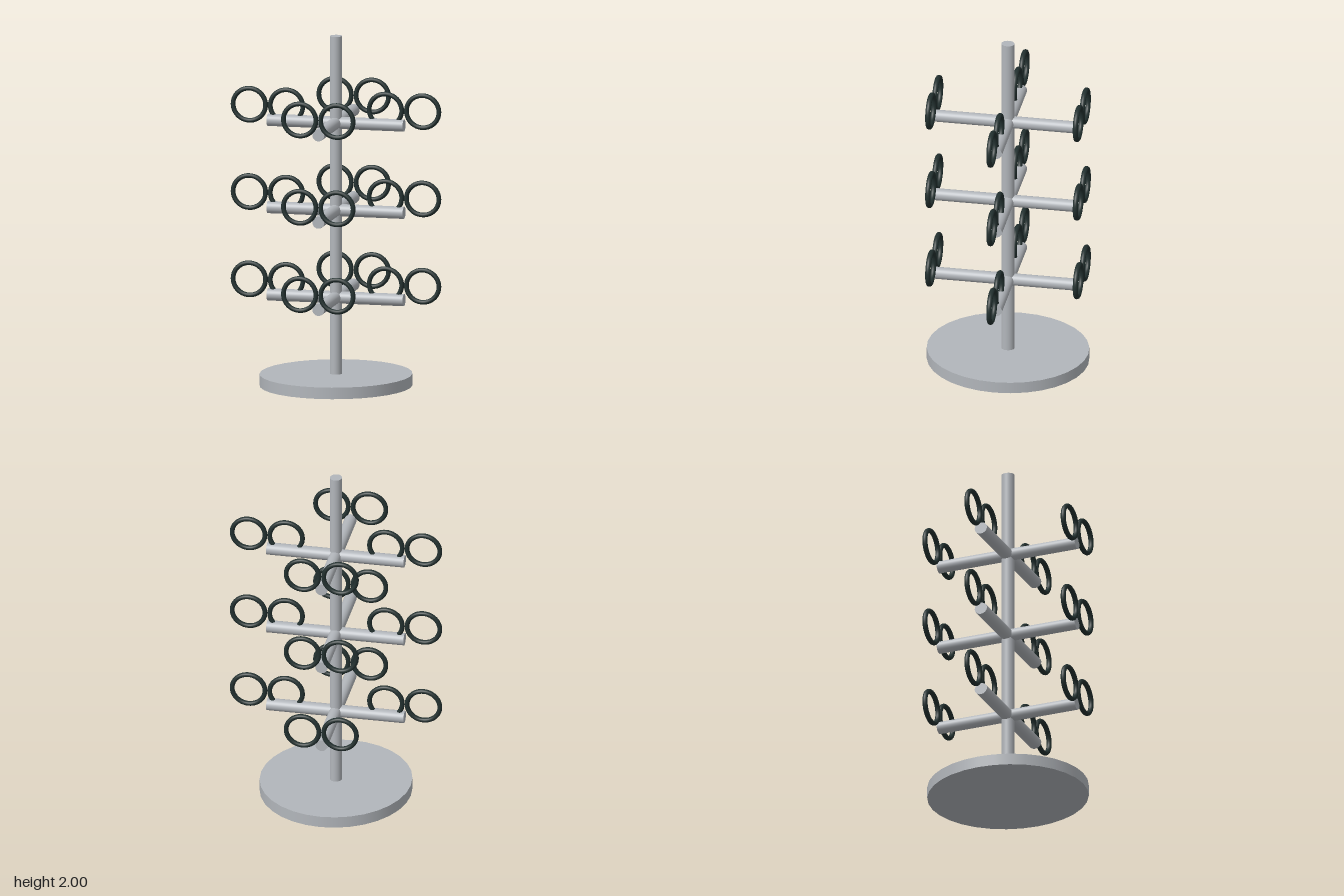
import * as THREE from 'three';

export function createModel() {
  const model = new THREE.Group();
  model.name = 'ringStand';

  const metal = new THREE.MeshStandardMaterial({ color: 0xb2b6bb });
  metal.name = 'light grey metal';
  const dark = new THREE.MeshStandardMaterial({ color: 0x22302f });
  dark.name = 'dark green rubber';

  function add(name, geometry, material, x, y, z) {
    const mesh = new THREE.Mesh(geometry, material);
    mesh.name = name;
    mesh.position.set(x, y, z);
    model.add(mesh);
  }

  // Slightly oval foot plate and upright
  add('base', new THREE.CylinderGeometry(1, 1, 0.066, 32).scale(0.43, 1, 0.46), metal, 0, 0.033, 0);
  add('pole', new THREE.CylinderGeometry(1, 1, 1.94, 32).scale(0.0345, 1, 0.0375), metal, 0, 1.03, 0);

  // Cross arms and rings, shared by all tiers
  const armX = new THREE.CylinderGeometry(1, 1, 0.79, 32).rotateZ(Math.PI / 2).scale(1, 0.0345, 0.0375);
  const armZ = new THREE.CylinderGeometry(0.0345, 0.0345, 0.845, 32).rotateX(Math.PI / 2);
  const ring = new THREE.TorusGeometry(0.093, 0.0133, 14, 48).scale(1.015, 0.99, 1.11);

  for (const y of [0.503, 1.003, 1.503]) {
    add('sideArm', armX, metal, 0, y, 0);
    add('frontBackArm', armZ, metal, 0, y, 0);
    for (const s of [-1, 1]) {
      // A pair of rings at each arm end, all facing the front
      for (const x of [0.287, 0.503]) add('sideRing', ring, dark, s * x, y + 0.084, 0);
      for (const z of [-0.423, 0.423]) add('frontBackRing', ring, dark, s * 0.108, y + 0.084, z);
    }
  }
  return model;
}
